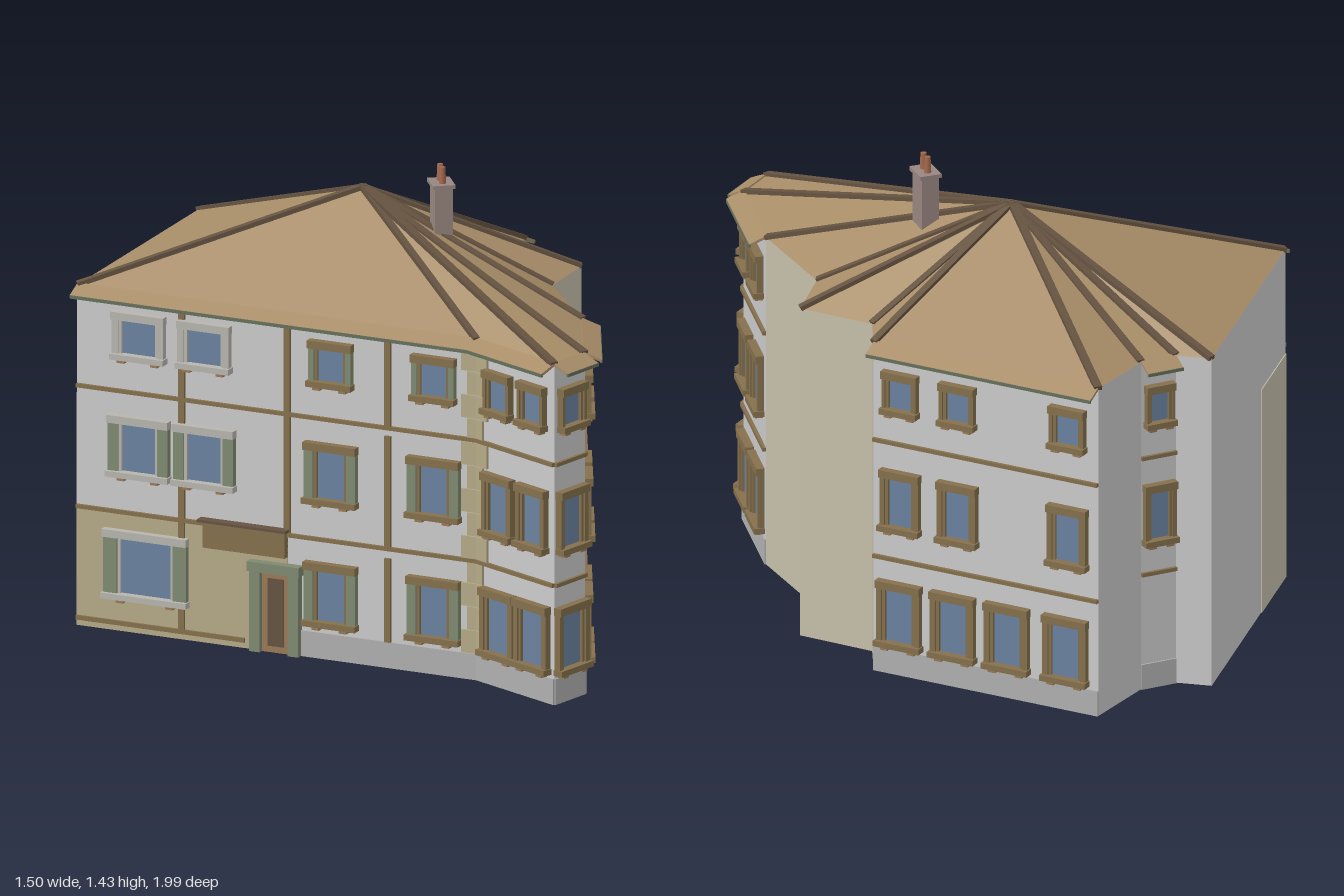
import * as THREE from 'three';

const mat = (color, extra = {}) => new THREE.MeshStandardMaterial({ color, ...extra });
const M = {
  plaster: mat(0xcccccc, { side: THREE.DoubleSide }),
  beige: mat(0xc6bfab, { side: THREE.DoubleSide }),
  cream: mat(0xb5ab88),
  plinth: mat(0xb0b0b0),
  roof: mat(0xa88d68, { side: THREE.DoubleSide, flatShading: true }),
  hip: mat(0x665341),
  wood: mat(0x85704d),
  green: mat(0x7f8a70),
  sill: mat(0x9a7a58),
  pale: mat(0xb8b5ae),
  glass: mat(0x6a82a0),
  gutter: mat(0x66705c),
  chimney: mat(0x978680),
  clay: mat(0xa5694d),
};

const EAVE = 1.055;
const APEX = new THREE.Vector3(0.11, 1.32, -0.165);

// Ground plan corners (x, z); each entry starts the wall running to the next
const PLAN = [
  [-0.72, -0.39, 'streetFacade'], [0.135, 0.62, 'cornerLeftFacade'], [0.24, 0.95, 'cornerFrontFacade'],
  [0.37, 0.88, 'cornerRightFacade'], [0.51, 0.55, 'partyWall'], [0.57, 0.19, 'partyWall'],
  [0.73, 0.04, 'partyWall'], [0.62, -0.18, 'partyWall'], [0.695, -0.3, 'sideFacade'],
  [0.34, -0.97, 'backWall'], [0.12, -0.87, 'recessFacade'], [0.005, -0.885, 'backWall'], [-0.07, -0.965, 'longBackWall'],
];

function add(parent, name, geometry, material, x = 0, y = 0, z = 0) {
  const mesh = new THREE.Mesh(geometry, material);
  mesh.name = name;
  mesh.position.set(x, y, z);
  parent.add(mesh);
  return mesh;
}

// Box on a wall: spans x0..x1, y0..y1 and stands d proud of the wall
function slab(wall, name, material, x0, x1, y0, y1, d) {
  return add(wall, name, new THREE.BoxGeometry(x1 - x0, y1 - y0, d), material, (x0 + x1) / 2, (y0 + y1) / 2, d / 2);
}

// Window: pane, inner frame, side shutters, lintel and projecting sill
function addWindow(wall, x, y0, y1, w, jamb, frame = M.wood, side = M.wood) {
  const g = new THREE.Group();
  g.name = 'window';
  g.position.x = x;
  wall.add(g);
  const h = w / 2, t = 0.01, o = h + t + jamb;
  slab(g, 'pane', M.glass, -h, h, y0, y1, 0.005);
  for (const s of [-1, 1]) {
    const e = [s * h, s * (h + t), s * o].sort((a, b) => a - b);
    const [inner, outer] = s > 0 ? [[e[0], e[1]], [e[1], e[2]]] : [[e[1], e[2]], [e[0], e[1]]];
    slab(g, 'frameSide', frame, ...inner, y0, y1, 0.014);
    slab(g, 'shutter', side, ...outer, y0 - 0.005, y1 + 0.005, 0.02);
  }
  slab(g, 'lintel', frame, -o - 0.002, o + 0.002, y1, y1 + 0.024, 0.026);
  slab(g, 'sill', frame, -o - 0.004, o + 0.004, y0 - 0.018, y0, 0.032);
  for (const s of [-1, 1]) slab(g, 'sillBracket', M.sill, s * h - 0.012, s * h + 0.012, y0 - 0.028, y0 - 0.018, 0.024);
}

// Three storeys of windows: [sill, lintel, pane width, jamb width]
const FLOORS = [[0.108, 0.276, 0.09, 0.018], [0.482, 0.635, 0.078, 0.016], [0.86, 0.954, 0.074, 0.011]];
function windowColumns(wall, positions, scale = 1) {
  positions.forEach((row, i) => {
    const [y0, y1, w, j] = FLOORS[i];
    for (const x of row) addWindow(wall, x, y0, y1, w * scale, j * scale);
  });
}

// Horizontal bands, plinth and overhanging eave of a decorated facade
function trimFacade(wall, len, plinthFrom = 0) {
  for (const y of [0.37, 0.745]) slab(wall, 'stringCourse', M.wood, 0, len, y - 0.006, y + 0.006, 0.01);
  slab(wall, 'plinth', M.plinth, plinthFrom, len, 0, 0.08, 0.005);
  const eave = add(wall, 'eave', new THREE.BoxGeometry(len, 0.008, 0.06), M.roof, 0.5 * len, 1.045, 0.022);
  eave.rotation.x = 0.42;
  add(wall, 'gutter', new THREE.BoxGeometry(len, 0.01, 0.008), M.gutter, 0.5 * len, 1.031, 0.049);
}

function buildStreetFacade(wall, len) {
  const s = (x) => (x + 0.73) / 0.646;
  trimFacade(wall, len, s(-0.25));
  slab(wall, 'groundFloorRender', M.cream, 0, s(-0.28), 0, 0.37, 0.003);
  slab(wall, 'baseBand', M.wood, 0, s(-0.37), 0.018, 0.032, 0.01);
  for (const [x, y0, y1] of [[-0.505, 0.03, 0.1], [-0.505, 0.31, 1.02], [-0.28, 0.37, 1.02], [-0.065, 0.08, 0.34], [-0.065, 0.37, 0.72], [-0.065, 0.75, 1.02]])
    slab(wall, 'timberPost', M.wood, s(x) - 0.01, s(x) + 0.01, y0, y1, 0.009);
  for (const x of [-0.595, -0.455]) {
    addWindow(wall, s(x), 0.865, 0.97, 0.11, 0.02, M.pale, M.pale);
    addWindow(wall, s(x), 0.5, 0.648, 0.11, 0.034, M.pale, M.green);
  }
  for (const x of [-0.185, 0.035]) {
    addWindow(wall, s(x), 0.865, 0.965, 0.085, 0.018, M.wood, M.green);
    addWindow(wall, s(x), 0.5, 0.648, 0.09, 0.03, M.wood, M.green);
    addWindow(wall, s(x), 0.12, 0.276, 0.09, 0.03, M.wood, M.green);
  }
  addWindow(wall, s(-0.58), 0.12, 0.292, 0.165, 0.045, M.pale, M.green);
  // Blank board with a small canopy above the entrance
  slab(wall, 'board', M.wood, s(-0.455), s(-0.28), 0.3, 0.38, 0.022);
  slab(wall, 'boardCanopy', M.hip, s(-0.465), s(-0.275), 0.38, 0.388, 0.032);
  // Entrance
  const a = s(-0.355), b = s(-0.25);
  slab(wall, 'doorSurround', M.green, a, a + 0.035, 0, 0.26, 0.025);
  slab(wall, 'doorSurround', M.green, b - 0.035, b, 0, 0.26, 0.025);
  slab(wall, 'doorLintel', M.green, a - 0.005, b + 0.005, 0.25, 0.28, 0.032);
  slab(wall, 'door', M.sill, a + 0.035, b - 0.035, 0, 0.25, 0.008);
  slab(wall, 'doorPanel', M.hip, a + 0.055, b - 0.055, 0.02, 0.23, 0.011);
}

function quoins(wall, atEnd, len) {
  for (let i = 0; i < 13; i++) {
    const w = i % 2 ? 0.03 : 0.05, y = 0.082 + i * 0.073;
    slab(wall, 'quoin', M.cream, atEnd ? len - w : 0, atEnd ? len : w, y, y + 0.071, 0.007);
  }
}

const DETAIL = {
  streetFacade(wall, len) {
    buildStreetFacade(wall, len);
    quoins(wall, true, len);
  },
  cornerLeftFacade(wall, len) {
    trimFacade(wall, len);
    quoins(wall, false, len);
    const xs = [0.3 * len, 0.74 * len];
    windowColumns(wall, [xs, xs, xs]);
  },
  cornerFrontFacade(wall, len) {
    trimFacade(wall, len);
    windowColumns(wall, [[len / 2], [len / 2], [len / 2]]);
  },
  cornerRightFacade(wall, len) {
    trimFacade(wall, len);
    const xs = [0.26 * len, 0.73 * len];
    windowColumns(wall, [xs, xs, xs]);
  },
  sideFacade(wall, len) {
    trimFacade(wall, len);
    const upper = [0.125, 0.38, 0.87].map((t) => t * len);
    windowColumns(wall, [[0.12, 0.36, 0.6, 0.86].map((t) => t * len), upper, upper]);
  },
  recessFacade(wall, len) {
    trimFacade(wall, len);
    windowColumns(wall, [[], [len / 2], [len / 2]], 0.75);
  },
  longBackWall(wall, len) {
    slab(wall, 'neighbourPatch', M.beige, 0.67 * len, len, 0, 0.72, 0.003);
  },
};

function buildWalls(house) {
  PLAN.forEach(([x, z, kind], i) => {
    const [bx, bz] = PLAN[(i + 1) % PLAN.length];
    const len = Math.hypot(bx - x, bz - z);
    const wall = new THREE.Group();
    wall.name = kind;
    wall.position.set(x, 0, z);
    wall.rotation.y = Math.atan2(z - bz, bx - x);
    house.add(wall);
    add(wall, 'wallSurface', new THREE.PlaneGeometry(len, EAVE), kind === 'partyWall' ? M.beige : M.plaster, len / 2, EAVE / 2);
    DETAIL[kind]?.(wall, len);
  });
  const shape = new THREE.Shape(PLAN.map(([x, z]) => new THREE.Vector2(x, z)));
  add(house, 'floor', new THREE.ShapeGeometry(shape).rotateX(Math.PI / 2), M.plaster);
}

// Fan of roof planes meeting at one peak, with a ridge capping on every hip
function buildRoof(house) {
  const rim = PLAN.map(([x, z]) => new THREE.Vector3(x, EAVE, z));
  const points = rim.flatMap((p, i) => [p, rim[(i + 1) % rim.length], APEX]);
  const geo = new THREE.BufferGeometry().setFromPoints(points);
  geo.computeVertexNormals();
  add(house, 'roof', geo, M.roof);
  for (const p of rim) {
    const mid = p.clone().add(APEX).multiplyScalar(0.5);
    const cap = add(house, 'hipCapping', new THREE.BoxGeometry(0.024, 0.014, p.distanceTo(APEX)), M.hip, mid.x, mid.y + 0.002, mid.z);
    cap.lookAt(APEX.x, APEX.y + 0.002, APEX.z);
  }
}

function buildChimney(house) {
  const g = new THREE.Group();
  g.name = 'chimney';
  g.position.set(0.262, 0, 0.068);
  g.rotation.y = -0.22;
  house.add(g);
  add(g, 'chimneyStack', new THREE.BoxGeometry(0.054, 0.22, 0.078), M.chimney, 0, 1.26, 0);
  add(g, 'chimneyCap', new THREE.BoxGeometry(0.068, 0.012, 0.092), M.chimney, 0, 1.376, 0);
  for (const z of [-0.017, 0.017]) add(g, 'chimneyPot', new THREE.CylinderGeometry(0.009, 0.011, 0.05, 10), M.clay, 0, 1.407, z);
}

export function createModel() {
  const house = new THREE.Group();
  house.name = 'cornerHouse';
  buildWalls(house);
  buildRoof(house);
  buildChimney(house);
  return house;
}
